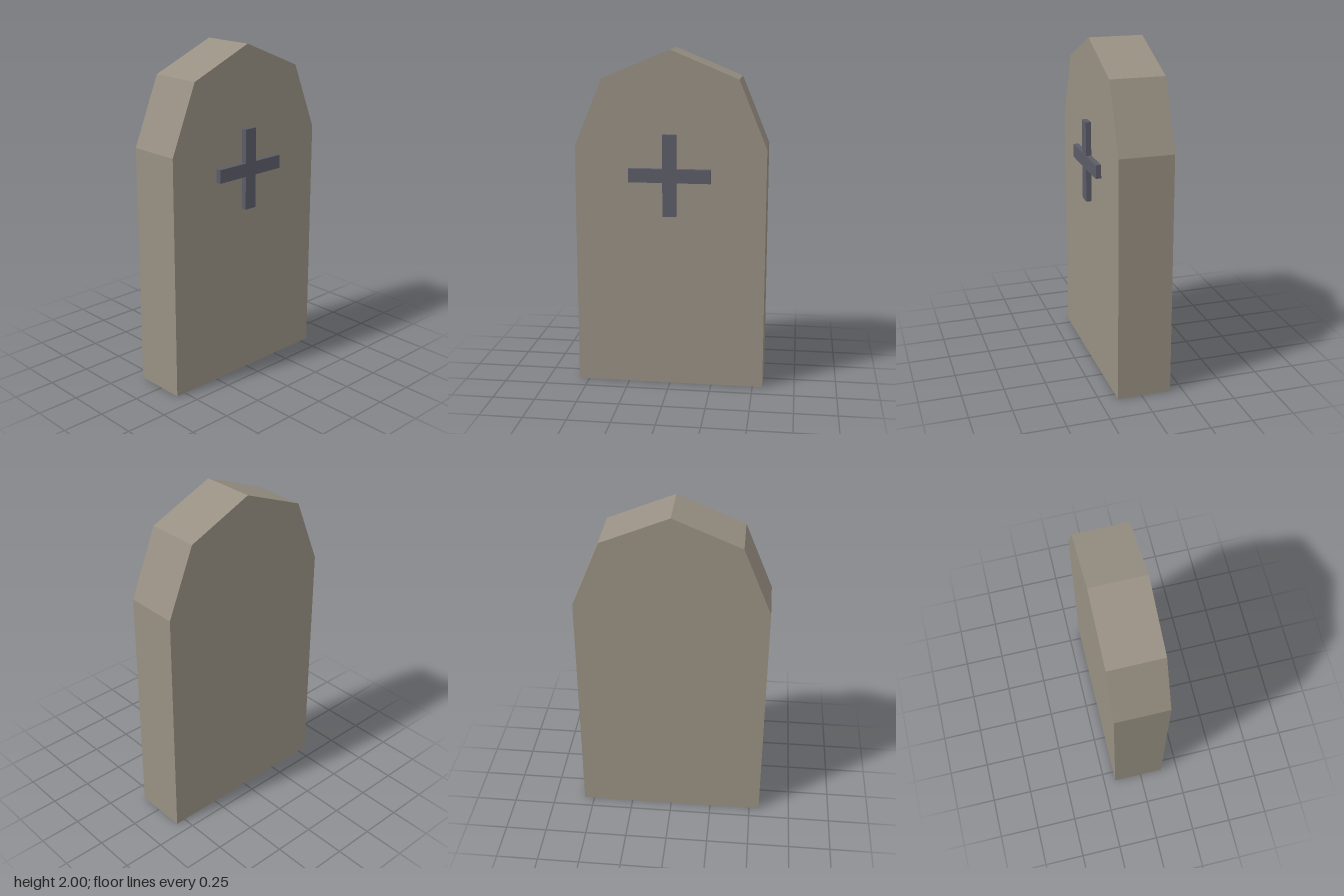
import * as THREE from 'three';

// Extrudes an outline from zBack to zFront
function plate(name, points, zBack, zFront, material) {
  const shape = new THREE.Shape(points.map(([x, y]) => new THREE.Vector2(x, y)));
  const geometry = new THREE.ExtrudeGeometry(shape, { depth: zFront - zBack, bevelEnabled: false });
  geometry.translate(0, 0, zBack);
  const mesh = new THREE.Mesh(geometry, material);
  mesh.name = name;
  return mesh;
}

export function createModel() {
  const stone = new THREE.MeshStandardMaterial({ color: 0x989083, flatShading: true });
  stone.name = 'warm grey stone';
  const slate = new THREE.MeshStandardMaterial({ color: 0x5c5c68, flatShading: true });
  slate.name = 'dark slate';

  const group = new THREE.Group();
  group.name = 'gravestone';

  // Slab: straight sides with a four-sided arch on top
  const radius = 0.56, spring = 1.44, segments = 4;
  const outline = [[-radius, 0], [radius, 0]];
  for (let i = 0; i <= segments; i++) {
    const a = (i / segments) * Math.PI;
    outline.push([radius * Math.cos(a), spring + radius * Math.sin(a)]);
  }
  group.add(plate('slab', outline, -0.176, 0.144, stone));

  // Raised cross: one arm corner turned around the centre
  const arm = 0.24, half = 0.04, centreY = 1.28;
  const cross = [];
  for (let i = 0; i < 4; i++) {
    const c = Math.round(Math.cos(i * Math.PI / 2)), s = Math.round(Math.sin(i * Math.PI / 2));
    for (const [x, y] of [[arm, -half], [arm, half], [half, half]]) {
      cross.push([x * c - y * s, centreY + x * s + y * c]);
    }
  }
  group.add(plate('cross', cross, 0.144, 0.176, slate));

  return group;
}
